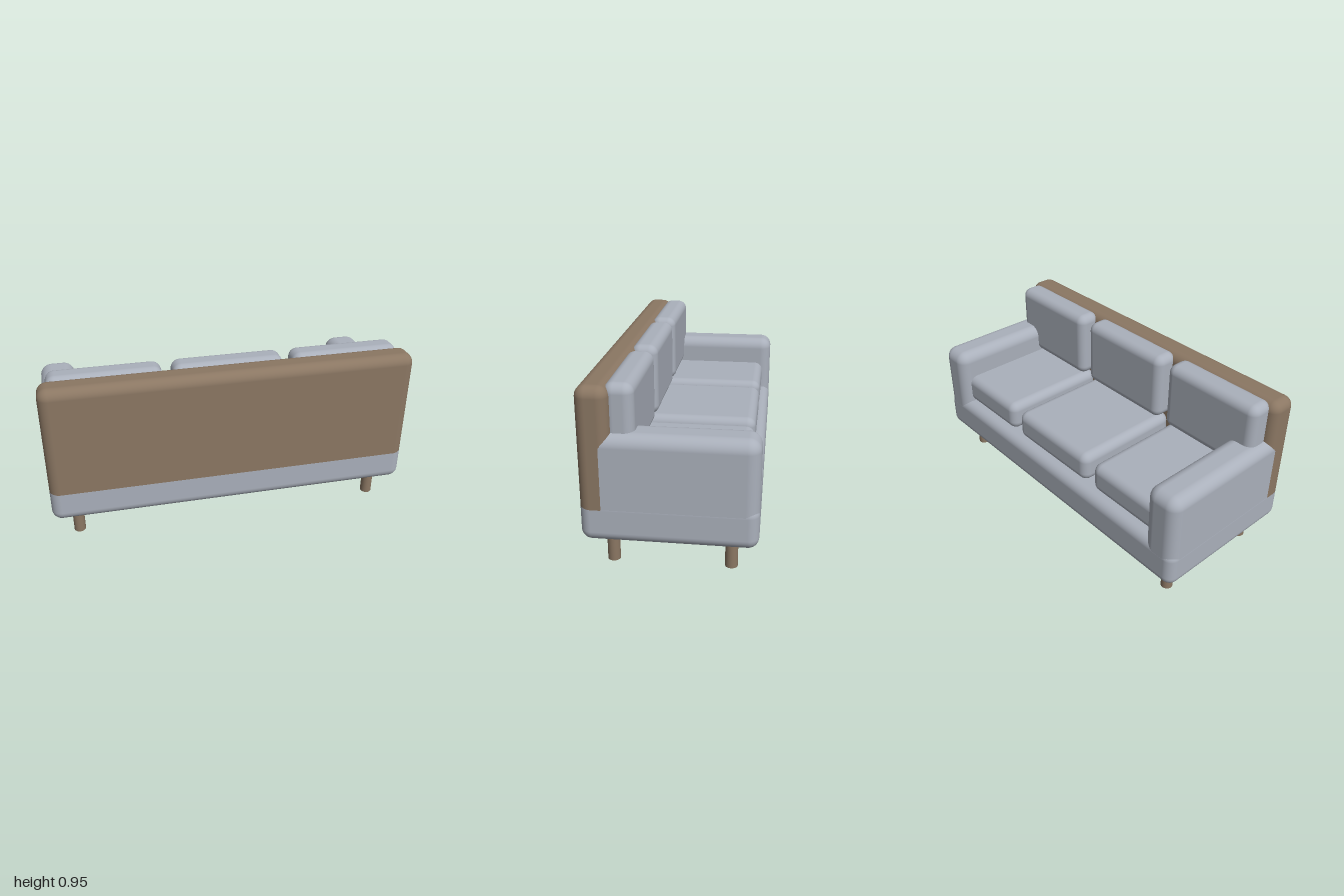
import * as THREE from 'three';
import { RoundedBoxGeometry } from 'three/addons/geometries/RoundedBoxGeometry.js';

export function createModel() {
  const sofa = new THREE.Group();
  sofa.name = 'sofa';

  const fabric = new THREE.MeshStandardMaterial({ color: 0xaab0bb });
  fabric.name = 'grey fabric';
  const brown = new THREE.MeshStandardMaterial({ color: 0x8b7763 });
  brown.name = 'brown';

  // Rounded block given by its limits on each axis
  function block(name, material, [x0, x1], [y0, y1], [z0, z1], radius) {
    const geometry = new RoundedBoxGeometry(x1 - x0, y1 - y0, z1 - z0, 5, radius);
    const mesh = new THREE.Mesh(geometry, material);
    mesh.position.set((x0 + x1) / 2, (y0 + y1) / 2, (z0 + z1) / 2);
    mesh.name = name;
    sofa.add(mesh);
  }

  // Frame: base and backrest, with tiny insets so flush faces do not flicker
  block('base', fabric, [-1, 1], [0.162, 0.388], [-0.432, 0.432], 0.055);
  block('backrest', brown, [-0.9997, 0.9997], [0.28, 0.95], [0.27, 0.4317], 0.055);

  // Armrests
  block('leftArm', fabric, [0.8, 0.9994], [0.275, 0.722], [-0.4317, 0.43], 0.065);
  block('rightArm', fabric, [-0.9994, -0.8], [0.275, 0.722], [-0.4317, 0.43], 0.065);

  // Three seat cushions, each with a back cushion resting on its rear
  for (const x of [-0.6535, 0, 0.6535]) {
    const span = [x - 0.301, x + 0.301];
    block('seatCushion', fabric, span, [0.385, 0.56], [-0.38, 0.275], 0.05);
    block('backCushion', fabric, span, [0.56, 0.955], [0.16, 0.306], 0.05);
  }

  // Round legs
  const legGeometry = new THREE.CylinderGeometry(0.032, 0.032, 0.18, 24);
  for (const x of [-0.865, 0.865]) {
    for (const z of [-0.297, 0.297]) {
      const leg = new THREE.Mesh(legGeometry, brown);
      leg.position.set(x, 0.09, z);
      leg.name = 'leg';
      sofa.add(leg);
    }
  }

  return sofa;
}
